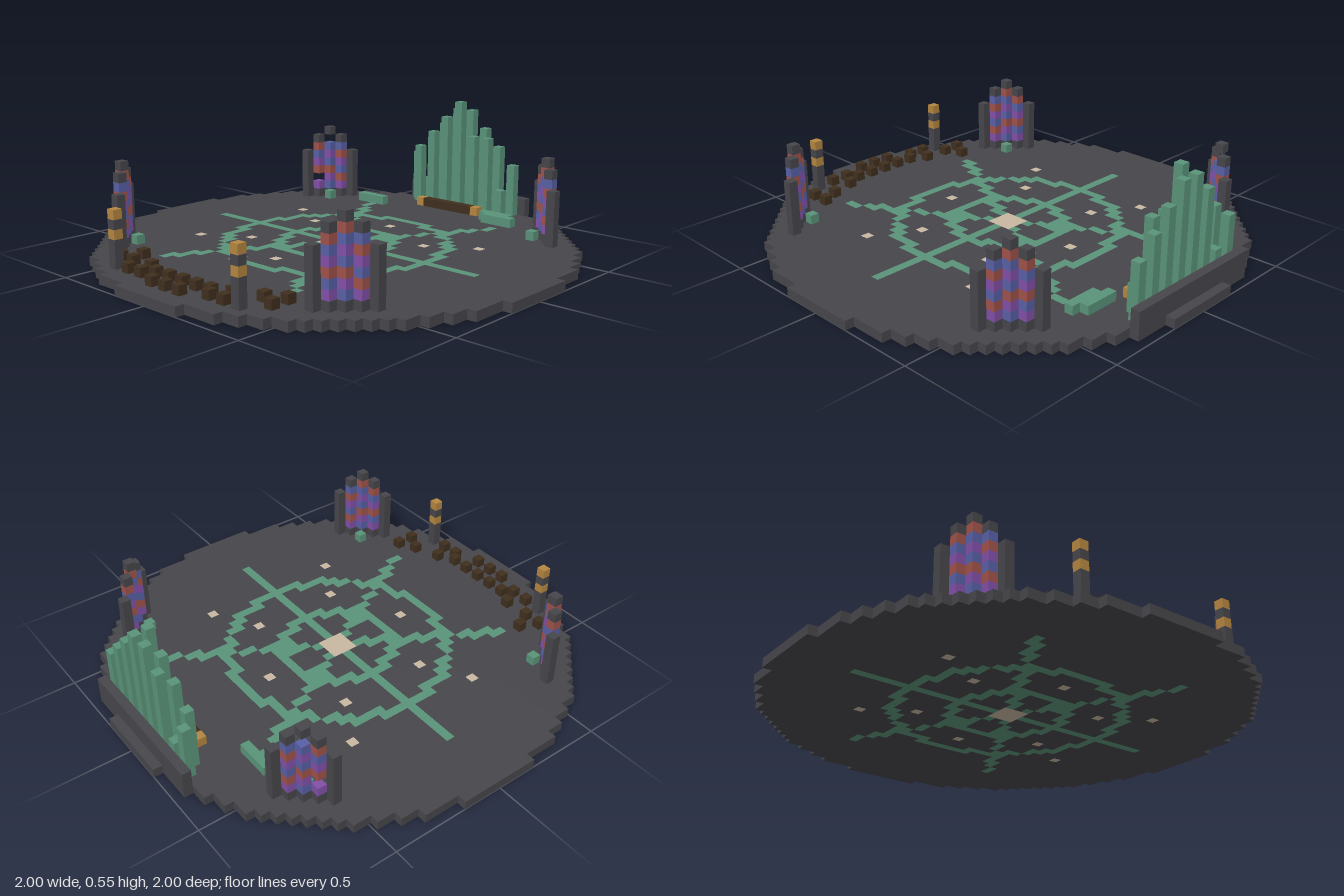
import * as THREE from 'three';
import { mergeGeometries } from 'three/addons/utils/BufferGeometryUtils.js';

const U = 2 / 51; // size of one block

const mat = (name, color) => {
  const m = new THREE.MeshStandardMaterial({ color });
  m.name = name;
  return m;
};

export function createModel() {
  const stone = mat('dark stone', 0x47464b);
  const copper = mat('green copper', 0x5a947a);
  const wood = mat('dark wood', 0x402f1e);
  const gold = mat('gold', 0xb58640);
  const pale = mat('pale stone', 0xc8b8a2);
  const glass = {
    p: mat('purple glass', 0x8250a8),
    b: mat('blue glass', 0x5860a6),
    r: mat('red glass', 0xa0524a),
  };
  const model = new THREE.Group();
  model.name = 'hall';

  // A run of blocks from (x, y, z), w wide, h tall and d deep
  const run = (x, y, z, w = 1, h = 1, d = 1) =>
    new THREE.BoxGeometry(w * U, h * U, d * U)
      .translate((x + (w - 1) / 2) * U, (y + h / 2) * U, (z + (d - 1) / 2) * U);
  const add = (name, material, runs, parent = model) => {
    const mesh = new THREE.Mesh(mergeGeometries(runs), material);
    mesh.name = name;
    parent.add(mesh);
  };

  // Floor inlay: two rings, six spokes, pale centre and dots
  const inlay = new Map();
  const paint = (x, z, m) => inlay.set(`${Math.round(x)},${Math.round(z)}`, m);
  for (const r of [6, 12]) {
    for (let i = 0; i < 720; i++) {
      const a = (i + 0.5) * Math.PI / 360;
      paint(r * Math.cos(a), r * Math.sin(a), copper);
    }
  }
  for (let k = 0; k < 6; k++) {
    const a = k * Math.PI / 3;
    for (let t = 0; t <= 18; t += 0.5) paint(t * Math.cos(a), t * Math.sin(a), copper);
  }
  for (let x = -1; x <= 1; x++) for (let z = -1; z <= 1; z++) paint(x, z, pale);
  for (const s of [-1, 1]) {
    paint(0, 9 * s, pale);
    for (const t of [-1, 1]) {
      paint(8 * t, 5 * s, pale);
      paint(13 * t, 8 * s, pale);
    }
  }

  // Round floor, each row joined into runs of one colour
  const floor = new Map([[stone, []], [copper, []], [pale, []]]);
  for (let z = -25; z <= 25; z++) {
    const half = Math.floor(Math.sqrt(645 - z * z));
    const at = (x) => inlay.get(`${x},${z}`) ?? stone;
    for (let x = -half; x <= half;) {
      let end = x + 1;
      while (end <= half && at(end) === at(x)) end++;
      floor.get(at(x)).push(run(x, 0, z, end - x));
      x = end;
    }
  }
  add('floor', stone, floor.get(stone));
  add('floorInlay', copper, floor.get(copper));
  add('floorLights', pale, floor.get(pale));

  // Organ: staggered pipes before a low back wall, with a console
  const heights = [6, 7, 3, 9, 10, 11, 12, 13, 12, 9, 10, 9, 8, 3, 6];
  add('organPipes', copper, heights.map((h, i) => run(i - 7, 1, i % 2 ? -22 : -23, 1, h)));
  add('backWall', stone, [run(-8, 1, -24, 17, 2)]);
  add('console', wood, [run(-3, 1, -20, 7)]);
  add('consoleEnds', gold, [run(-4, 1, -20), run(4, 1, -20)]);

  // Low copper ledges and corner blocks
  add('ledges', copper, [run(6, 1, -19, 4), run(7, 1, -18, 4), run(-11, 1, -17, 4)]);
  const corners = [[-1, -1], [1, -1], [-1, 1], [1, 1]];
  add('cornerBlocks', copper, corners.map(([sx, sz]) => run(15 * sx, 1, 15 * sz)));

  // Four diagonal window screens; colours run upward from the sill
  const columns = ['pbrpbr', 'bprbpbr', 'prbprb'];
  for (const [sx, sz] of corners) {
    const screen = new THREE.Group();
    screen.name = 'windowScreen';
    model.add(screen);
    const frame = [];
    const panes = { p: [], b: [], r: [] };
    for (let i = -2; i <= 2; i++) {
      const x = sx * 16 + i;
      const z = sz * (16 - sx * i);
      if (Math.abs(i) === 2) {
        frame.push(run(x, 1, z, 1, 6));
        continue;
      }
      const colours = columns[i + 1];
      frame.push(run(x, 1, z), run(x, 2 + colours.length, z));
      [...colours].forEach((c, k) => {
        // Two panes are missing from the back screen at -x
        const gap = sx < 0 && sz < 0 && ((i === 0 && k === 6) || (i === -1 && k === 1));
        if (!gap) panes[c].push(run(x, 2 + k, z));
      });
    }
    add('screenFrame', stone, frame, screen);
    for (const c in panes) add('windowPanes', glass[c], panes[c], screen);
  }

  // Banded lamp posts
  for (const x of [-9, 9]) {
    add('lampPost', stone, [run(x, 1, 22, 1, 3), run(x, 5, 22)]);
    add('lampBands', gold, [run(x, 4, 22), run(x, 6, 22)]);
  }

  // Scattered wooden seats along the front
  const seats = [
    [-10, 18], [-11, 20], [-9, 20], [9, 19], [11, 18], [11, 20],
    [-6, 20], [6, 20], [-7, 22], [-5, 22], [5, 22], [7, 22],
    [-4, 21], [-2, 21], [0, 21], [2, 21], [4, 21], [-2, 23], [0, 23], [2, 23],
  ];
  add('seats', wood, seats.map(([x, z]) => run(x, 1, z)));

  return model;
}
